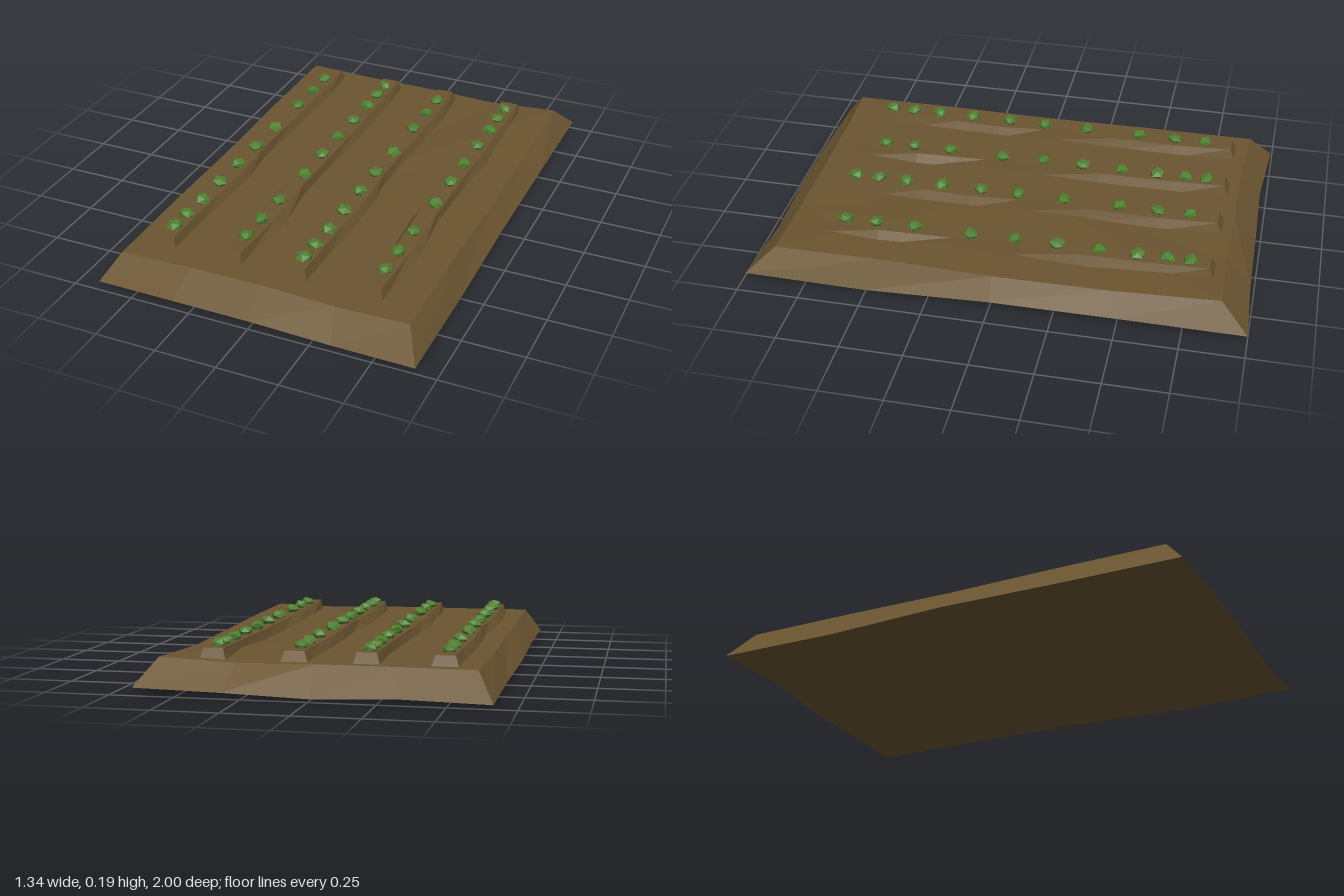
import * as THREE from 'three';

const soil = new THREE.MeshStandardMaterial({ color: 0x6b5530, flatShading: true });
soil.name = 'soil brown';
const leaf = new THREE.MeshStandardMaterial({ color: 0x4f7f2f, flatShading: true });
leaf.name = 'leaf green';

// Collects triangles and quads, corners counter-clockwise seen from outside
function facets() {
  const p = [];
  return {
    tri(a, b, c) { p.push(...a, ...b, ...c); },
    quad(a, b, c, d) { this.tri(a, b, c); this.tri(a, c, d); },
    mesh(name, material) {
      const g = new THREE.BufferGeometry();
      g.setAttribute('position', new THREE.Float32BufferAttribute(p, 3));
      g.computeVertexNormals();
      const m = new THREE.Mesh(g, material);
      m.name = name;
      return m;
    },
  };
}

// Low bed with uneven edges; each side lists five points [x, y, z]
function makeBed() {
  // front (left to right), right (front to back), back (right to left), left (back to front)
  const outer = [
    [-0.66, 0.015, 0.97], [-0.33, 0.022, 0.98], [0, 0.022, 0.983], [0.33, 0.01, 0.98],
    [0.665, 0.02, 0.995], [0.66, 0.01, 0.5], [0.66, 0.03, 0], [0.66, 0.032, -0.5],
    [0.66, 0.03, -1], [0.33, 0.02, -0.985], [0, 0.008, -0.98], [-0.33, 0.018, -0.972],
    [-0.665, 0.015, -0.995], [-0.66, 0.012, -0.5], [-0.67, 0.02, 0], [-0.66, 0.018, 0.5],
  ];
  const inner = [
    [-0.595, 0.12, 0.89], [-0.3, 0.12, 0.88], [0, 0.12, 0.878], [0.3, 0.112, 0.882],
    [0.6, 0.12, 0.885], [0.597, 0.122, 0.45], [0.6, 0.112, 0], [0.592, 0.11, -0.45],
    [0.592, 0.13, -0.89], [0.3, 0.115, -0.88], [0, 0.12, -0.885], [-0.3, 0.12, -0.885],
    [-0.6, 0.12, -0.9], [-0.605, 0.116, -0.45], [-0.6, 0.114, 0], [-0.6, 0.118, 0.45],
  ];
  const f = facets();
  const n = outer.length;
  for (let i = 0; i < n; i++) {
    const j = (i + 1) % n;
    f.quad(outer[i], outer[j], inner[j], inner[i]);
    f.tri(inner[i], inner[j], [0, 0.113, 0]);
    f.tri(outer[j], outer[i], [0, 0, 0]);
  }
  return f.mesh('soilBed', soil);
}

// Ridge stations: [z, left foot, left crest, right crest, right foot, crest height]
const ridgeA = [
  [-0.85, -0.06, -0.04, 0.035, 0.05, 0.158], [-0.58, -0.06, -0.035, 0.04, 0.065, 0.152],
  [-0.3, -0.06, -0.04, 0.035, 0.055, 0.15], [0, -0.045, -0.03, 0.03, 0.04, 0.152],
  [0.2, -0.065, -0.035, 0.04, 0.062, 0.148], [0.4, -0.07, -0.04, 0.035, 0.06, 0.15],
  [0.6, -0.06, -0.035, 0.035, 0.05, 0.154], [0.79, -0.048, -0.035, 0.035, 0.05, 0.158],
];
const ridgeB = [
  [-0.85, -0.06, -0.04, 0.035, 0.048, 0.16], [-0.6, -0.042, -0.03, 0.035, 0.06, 0.152],
  [-0.3, -0.05, -0.035, 0.035, 0.058, 0.15], [0, -0.055, -0.035, 0.03, 0.04, 0.148],
  [0.2, -0.075, -0.04, 0.03, 0.04, 0.15], [0.5, -0.055, -0.03, 0.04, 0.075, 0.15],
  [0.79, -0.043, -0.035, 0.035, 0.048, 0.158],
];

function makeRidge(stations, x) {
  const last = stations.length - 1;
  const rings = stations.map(([z, a, b, c, d, h], i) => {
    const crestZ = z + (i === 0 ? 0.025 : i === last ? -0.02 : 0);
    return [[x + a, 0.105, z], [x + b, h, crestZ], [x + c, h, crestZ], [x + d, 0.105, z]];
  });
  const f = facets();
  for (let i = 0; i < last; i++) {
    for (let k = 0; k < 3; k++) f.quad(rings[i][k], rings[i + 1][k], rings[i + 1][k + 1], rings[i][k + 1]);
  }
  const [a, b, c, d] = rings[last];
  f.quad(a, d, c, b);
  f.quad(...rings[0]);
  return f.mesh('ridge', soil);
}

// Crumpled little sprout; matching corners get the same offset
function makeSprout(seed) {
  const g = new THREE.IcosahedronGeometry(1, 0);
  const pos = g.attributes.position;
  const v = new THREE.Vector3();
  for (let i = 0; i < pos.count; i++) {
    v.fromBufferAttribute(pos, i);
    const s = Math.sin(Math.round(v.x * 10) * 12.9 + Math.round(v.y * 10) * 78.2
      + Math.round(v.z * 10) * 37.7 + seed * 4.1) * 437.5;
    v.multiplyScalar(0.85 + 0.35 * (s - Math.floor(s)));
    pos.setXYZ(i, v.x * 0.031, v.y * 0.022, v.z * 0.031);
  }
  g.computeVertexNormals();
  const m = new THREE.Mesh(g, leaf);
  m.name = 'sprout';
  m.rotation.y = seed * 1.7;
  return m;
}

export function createModel() {
  const model = new THREE.Group();
  model.name = 'plantedField';
  model.add(makeBed());

  const sproutsA = [-0.71, -0.58, -0.42, -0.19, 0, 0.16, 0.33, 0.48, 0.6, 0.7];
  const sproutsB = [-0.75, -0.66, -0.54, -0.39, -0.22, -0.05, 0.13, 0.36, 0.52, 0.65];
  const rows = [
    [-0.468, ridgeA, sproutsA], [-0.178, ridgeB, sproutsB],
    [0.093, ridgeA, sproutsA], [0.405, ridgeB, sproutsB],
  ];
  rows.forEach(([x, stations, sprouts], r) => {
    const row = new THREE.Group();
    row.name = 'cropRow' + (r + 1);
    row.add(makeRidge(stations, x));
    sprouts.forEach((z, i) => {
      const s = makeSprout((r % 2) * 10 + i + 1);
      s.position.set(x, 0.163, z);
      row.add(s);
    });
    model.add(row);
  });
  return model;
}
